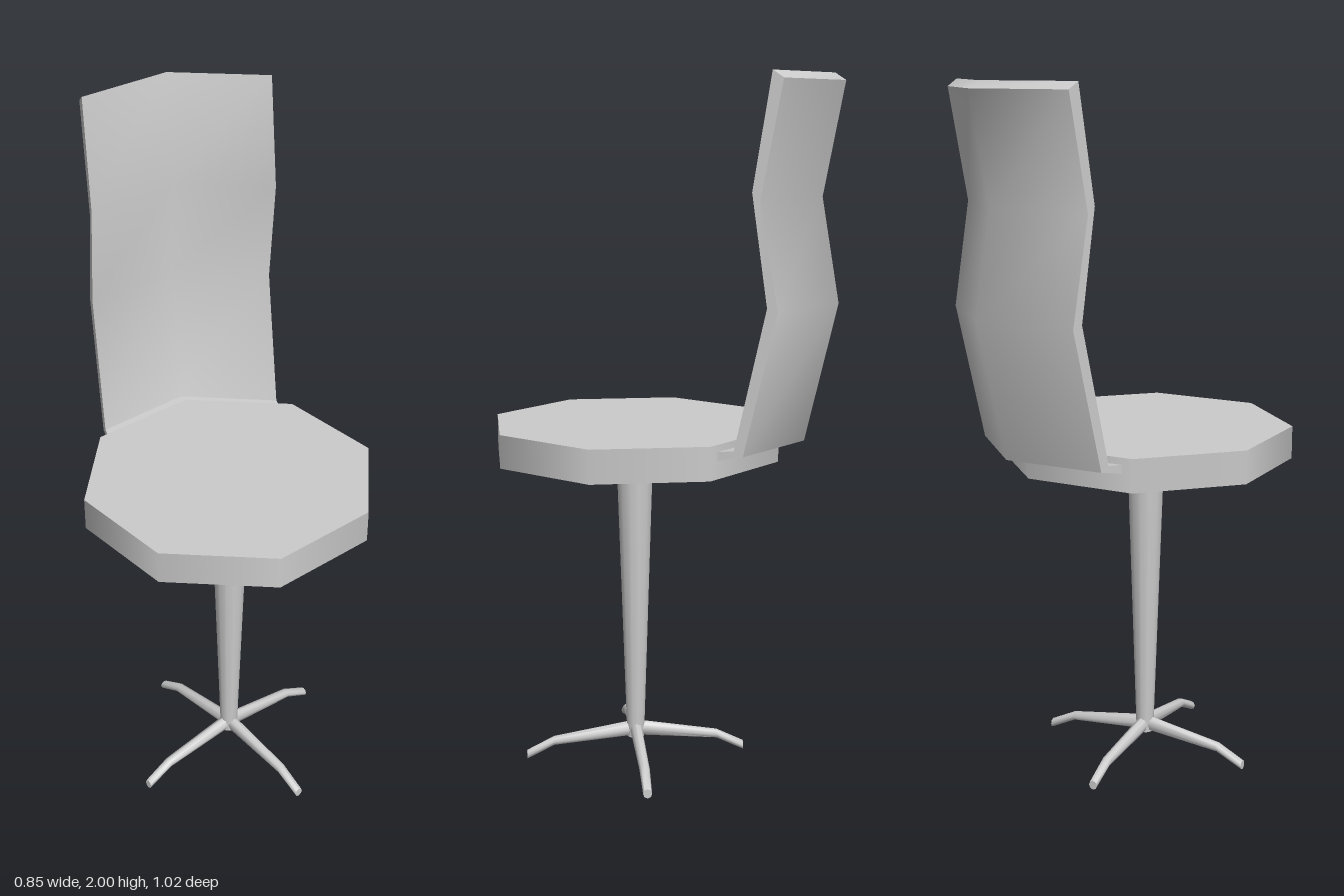
import * as THREE from 'three';
import { toCreasedNormals } from 'three/addons/utils/BufferGeometryUtils.js';

const SEAT_Z = 0.085;

// Curved back: side profile extruded across the width, then bent into a V
function backGeometry() {
  const halfWidth = 0.27, bend = 0.115;
  const profile = [ // [z, y] at the outer edge, front face upward then back face downward
    [-0.225, 1.0], [-0.272, 1.005], [-0.358, 1.39], [-0.315, 1.69], [-0.365, 2.0],
    [-0.395, 1.98], [-0.337, 1.67], [-0.387, 1.38], [-0.297, 0.99], [-0.225, 0.975],
  ];
  const shape = new THREE.Shape(profile.map(([z, y]) => new THREE.Vector2(z, y)));
  const geo = new THREE.ExtrudeGeometry(shape, { depth: 2 * halfWidth, steps: 2, bevelEnabled: false });
  geo.translate(0, 0, -halfWidth).rotateY(-Math.PI / 2);
  const p = geo.attributes.position;
  for (let i = 0; i < p.count; i++) {
    p.setZ(i, p.getZ(i) - bend * (1 - Math.abs(p.getX(i)) / halfWidth));
  }
  return toCreasedNormals(geo, 0.9);
}

// Foot spoke: a tube with three stations, flat and then bent down at the tip
function legGeometry() {
  const stations = [
    { r: 0, y: 0.085, w: 0.018, h: 0.024 },
    { r: 0.245, y: 0.054, w: 0.015, h: 0.014 },
    { r: 0.326, y: 0.014, w: 0.013, h: 0.014 },
  ];
  const geo = new THREE.CylinderGeometry(1, 1, 1, 8, 2).rotateX(Math.PI / 2);
  const p = geo.attributes.position;
  for (let i = 0; i < p.count; i++) {
    const s = stations[Math.round((p.getZ(i) + 0.5) * 2)];
    p.setXYZ(i, p.getX(i) * s.w, s.y + p.getY(i) * s.h, s.r);
  }
  return toCreasedNormals(geo, 0.9);
}

export function createModel() {
  const group = new THREE.Group();
  const material = new THREE.MeshStandardMaterial({ color: 0xcccccc });
  const add = (name, geo, y = 0, z = 0) => {
    const mesh = new THREE.Mesh(geo, material);
    mesh.name = name;
    mesh.position.set(0, y, z);
    group.add(mesh);
    return mesh;
  };

  // Octagonal seat
  add('seat', new THREE.CylinderGeometry(0.424, 0.424, 0.095, 8), 0.9725, SEAT_Z);

  // Backrest
  add('backrest', backGeometry());

  // Tapered column from the hub to the underside of the seat
  add('column', new THREE.CylinderGeometry(0.055, 0.026, 0.87, 12), 0.495, SEAT_Z);

  // Four spokes, turned an eighth of a right angle pair from the axes
  const leg = legGeometry();
  for (let i = 0; i < 4; i++) {
    add('leg' + (i + 1), leg, 0, SEAT_Z).rotation.y = Math.PI / 8 + i * Math.PI / 2;
  }
  return group;
}
